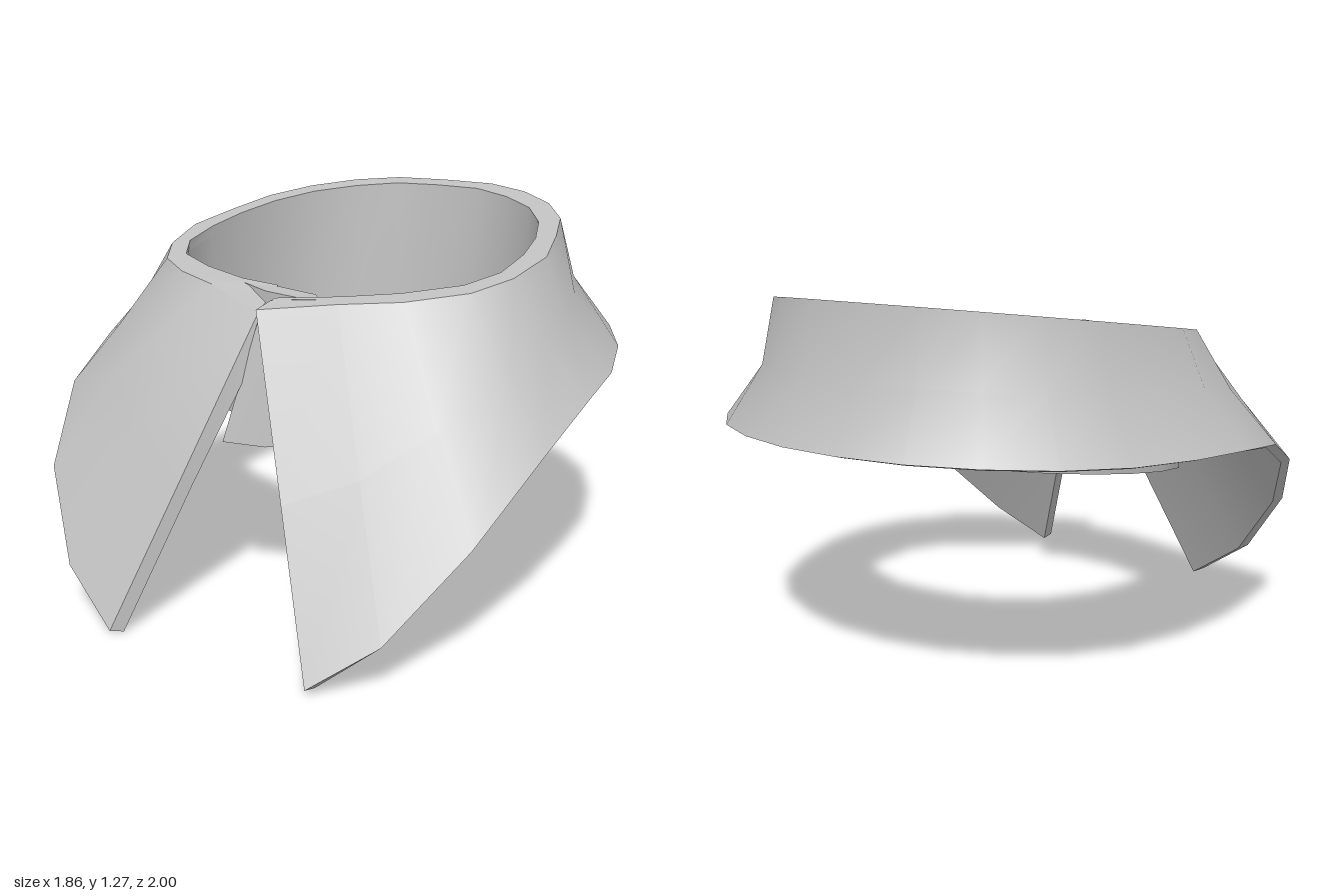
import * as THREE from 'three';
import { toCreasedNormals } from 'three/addons/utils/BufferGeometryUtils.js';

// Stations: inner rim x,z | outer rim x,z | flap hem x,y,z | drop of the outer rim
const back = [
  [0, -0.785, 0, -0.86, 0, 0.84, -1, 0],
  [0.17, -0.775, 0.2, -0.85, 0.22, 0.838, -0.975, 0],
  [0.32, -0.70, 0.36, -0.78, 0.43, 0.834, -0.9, 0],
  [0.45, -0.59, 0.5, -0.66, 0.62, 0.828, -0.78, 0],
  [0.54, -0.44, 0.6, -0.5, 0.77, 0.82, -0.61, 0],
  [0.59, -0.27, 0.65, -0.31, 0.87, 0.808, -0.38, 0],
  [0.61, -0.1, 0.69, -0.1, 0.93, 0.79, -0.1, 0],
];
const leftFront = [
  [0.6, 0.08, 0.66, 0.12, 0.93, 0.76, 0.14, 0],
  [0.53, 0.22, 0.58, 0.28, 0.89, 0.66, 0.42, 0],
  [0.37, 0.34, 0.41, 0.41, 0.77, 0.43, 0.69, 0],
  [0.2, 0.42, 0.22, 0.485, 0.58, 0.17, 0.9, 0],
  [0, 0.49, -0.02, 0.575, 0.38, 0.03, 1, 0.01],
];
const rightFront = [
  [-0.6, 0.07, -0.65, 0.11, -0.93, 0.76, 0.14, 0],
  [-0.53, 0.2, -0.57, 0.26, -0.89, 0.65, 0.41, 0],
  [-0.38, 0.29, -0.44, 0.36, -0.78, 0.43, 0.68, 0],
  [-0.2, 0.36, -0.27, 0.44, -0.59, 0.17, 0.855, 0],
  [-0.05, 0.385, -0.05, 0.51, -0.375, 0.015, 0.935, 0.045],
];
const mirror = (s) => s.map((v, i) => (i === 0 || i === 2 || i === 4 ? -v : v));
// Runs from the right front, around the back, to the left front
const stations = [
  ...[...rightFront].reverse(),
  ...back.slice(1).reverse().map(mirror),
  ...back,
  ...leftFront,
];

const V = (x, y, z) => new THREE.Vector3(x, y, z);
const topY = (z) => 1.14 - 0.154 * z;
const bandY = (z) => 0.665 - 0.16 * z;

// Joins closed cross-sections (outer side down, inner side back up) into a solid
function sweep(sections) {
  const n = sections[0].length;
  const index = [];
  const quad = (a, b, c, d) => index.push(a, b, c, a, c, d);
  for (let i = 0; i < sections.length - 1; i++) {
    for (let j = 0; j < n; j++) {
      const k = (j + 1) % n;
      quad(i * n + j, (i + 1) * n + j, (i + 1) * n + k, i * n + k);
    }
  }
  const last = (sections.length - 1) * n;
  for (let j = 0; j < n / 2 - 1; j++) {
    const q = n - 1 - j;
    quad(j, j + 1, q - 1, q);
    quad(last + j, last + q, last + q - 1, last + j + 1);
  }
  const g = new THREE.BufferGeometry();
  g.setAttribute('position', new THREE.Float32BufferAttribute(
    sections.flat().flatMap((p) => p.toArray()), 3));
  g.setIndex(index);
  return toCreasedNormals(g, 0.75);
}

// Folded outer flap: flat rim, waist that bows inward at the back, hem
function flapSection([ix, iz, ox, oz, hx, hy, hz, drop], i) {
  const innerTop = V(ix, topY(iz), iz);
  const outerTop = V(ox, topY(oz) - drop, oz);
  const hem = V(hx, hy, hz);
  const bow = THREE.MathUtils.clamp(0.36 + oz * 0.14 + Math.max(0, oz + 0.1) * 0.3, 0.2, 0.53);
  const mid = V(
    THREE.MathUtils.lerp(ox, hx, bow),
    THREE.MathUtils.lerp(outerTop.y, hy, 0.53),
    THREE.MathUtils.lerp(oz, hz, bow));
  // The cloth thickens toward the points; the right point's edge turns to the middle
  const thickness = 0.032 + 0.012 * Math.max(0, hz);
  const inward = i === 0
    ? V(0.03, -0.01, -0.035)
    : V(ix - ox, 0, iz - oz).setLength(thickness).add(V(0, -0.01, 0));
  const inside = (p) => p.clone().add(inward);
  return [innerTop, outerTop, mid, hem, inside(hem), inside(mid),
    inside(outerTop).add(V(0, -0.025, 0)), innerTop.clone().add(V(0, -0.035, 0))];
}

// Upright band section between a top point and a bottom point
function bandSection(top, bottom, out) {
  return [top.clone().add(out), bottom.clone().add(out), bottom, top];
}

function bandSections() {
  const ringSections = stations.map(([x, z, ox, oz], i) => {
    const out = V(ox - x, 0, oz - z).setLength(i === 0 ? 0.08 : 0.018);
    const lean = i === stations.length - 1 ? 0.055 : i === stations.length - 2 ? 0.02 : 0;
    const tuck = 0.035 * Math.max(0, -z);
    return bandSection(V(x, topY(z) - 0.004, z), V(x, bandY(z), z + lean + tuck), out);
  });
  // Overlapping ends: right one tucked inside, left one slanting outside it
  const innerEnd = [
    bandSection(V(0.11, 1.03, 0.365), V(0.11, 0.605, 0.36), V(0, 0, 0.065)),
    bandSection(V(0.08, 1.06, 0.37), V(0.08, 0.605, 0.365), V(0, 0, 0.075)),
  ];
  const outerEnd = bandSection(V(-0.05, 0.98, 0.49), V(-0.14, 0.595, 0.57), V(0, 0, 0.03));
  return [...innerEnd, ...ringSections, outerEnd];
}

export function createModel() {
  const cloth = new THREE.MeshStandardMaterial({ color: 0xc0c0c0 });
  cloth.name = 'grey cloth';
  const group = new THREE.Group();
  group.name = 'collar';
  const add = (name, geometry) => {
    const mesh = new THREE.Mesh(geometry, cloth);
    mesh.name = name;
    group.add(mesh);
  };
  add('foldedFlap', sweep(stations.map(flapSection)));
  add('neckBand', sweep(bandSections()));
  return group;
}
